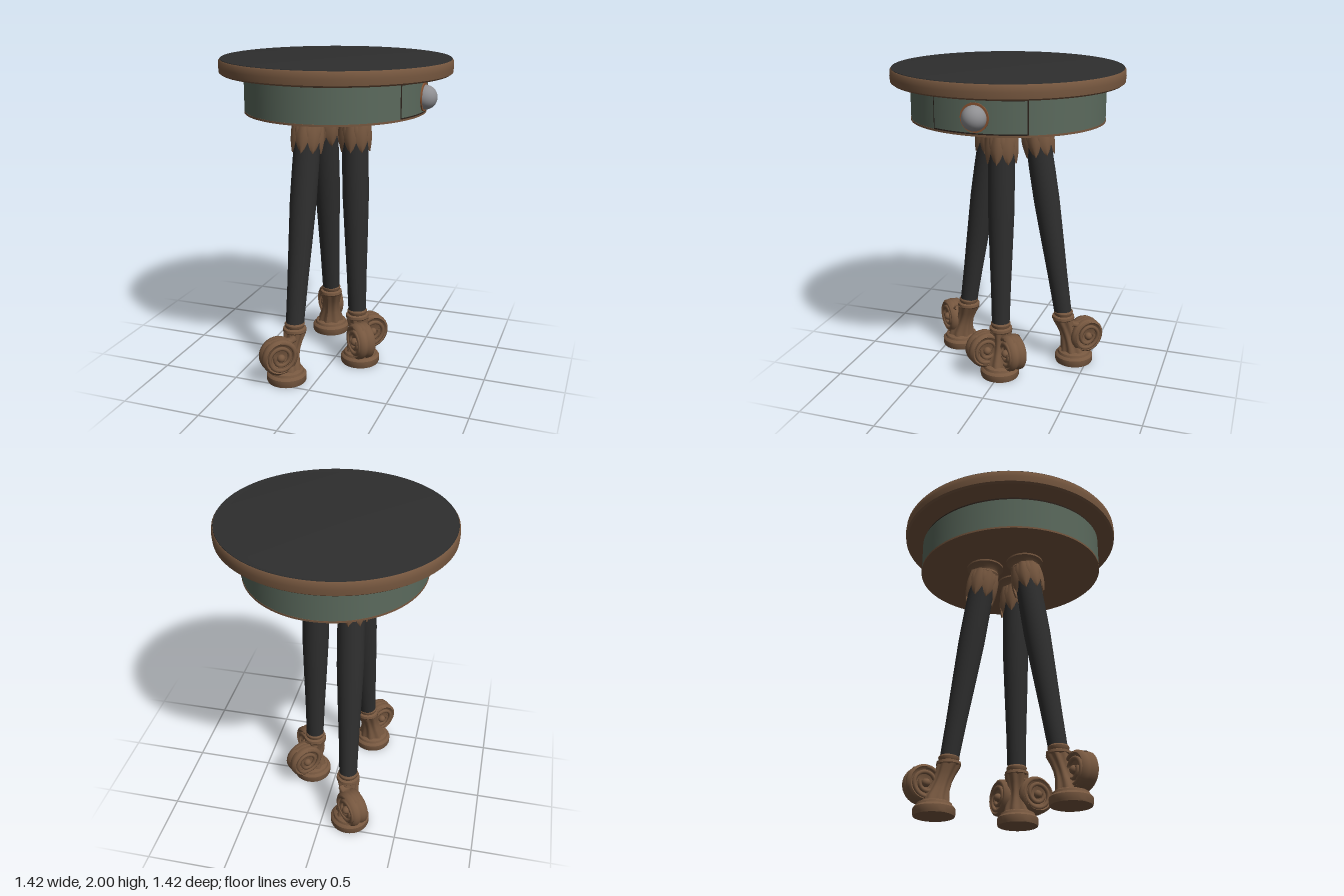
import * as THREE from 'three';
import { toCreasedNormals } from 'three/addons/utils/BufferGeometryUtils.js';

const mat = (name, color, side = THREE.FrontSide) => {
  const m = new THREE.MeshStandardMaterial({ color, side });
  m.name = name;
  return m;
};

export function createModel() {
  const black = mat('ebony', 0x2e2e2e);
  const brown = mat('carved bronze', 0x76573f, THREE.DoubleSide);
  const green = mat('green paint', 0x5b6a5d, THREE.DoubleSide);
  const dark = mat('dark groove', 0x2b211b, THREE.DoubleSide);
  const silver = mat('silver knob', 0x8f8f92);
  const rust = mat('rust', 0x8a5433, THREE.DoubleSide);

  const model = new THREE.Group();
  model.name = 'sideTable';
  const add = (parent, name, geo, material, x = 0, y = 0, z = 0) => {
    const mesh = new THREE.Mesh(geo, material);
    mesh.name = name;
    mesh.position.set(x, y, z);
    parent.add(mesh);
    return mesh;
  };
  const lathe = (pts, seg = 48, crease = 0.6) => toCreasedNormals(
    new THREE.LatheGeometry(pts.map(p => new THREE.Vector2(p[0], p[1])), seg), crease);

  // Round top with a banded rim
  add(model, 'topRim', lathe([[0, 1.905], [0.695, 1.905], [0.708, 1.915], [0.711, 1.95],
    [0.708, 1.985], [0.702, 1.993], [0.68, 1.993]], 96), brown);
  add(model, 'topSurface', lathe([[0.703, 1.988], [0.7, 1.996], [0.66, 1.996], [0.645, 1.998], [0, 2]], 96), black);

  // Oval drum: each layer is a round part squashed along x
  const RX = 0.552, RZ = 0.598;
  const oval = (name, geo, material, y, grow = 1) => {
    const m = add(model, name, geo, material, 0, y, 0);
    m.scale.set(RX * grow, 1, RZ * grow);
    return m;
  };
  oval('drumNeck', new THREE.CylinderGeometry(1, 1, 0.03, 96), dark, 1.895, 0.99);
  oval('drum', new THREE.CylinderGeometry(1, 1, 0.205, 96, 1, true), green, 1.7875);
  oval('drumBottom', new THREE.CylinderGeometry(1, 1, 0.012, 96), brown, 1.681, 1.003);

  // Drawer front on +x, with dark gaps around it
  const arc = (h, mid, half, seg = 24) =>
    new THREE.CylinderGeometry(1, 1, h, seg, 1, true, Math.PI / 2 + mid - half, half * 2);
  oval('drawerGap', arc(0.2, 0, 0.492), dark, 1.787, 1.004);
  oval('drawerFront', arc(0.184, 0, 0.478), green, 1.787, 1.008);

  // Knob
  const plate = add(model, 'knobPlate', new THREE.CylinderGeometry(0.085, 0.085, 0.008, 24), rust, 0.558, 1.782, 0.01);
  plate.rotation.z = Math.PI / 2;
  add(model, 'knob', new THREE.SphereGeometry(0.073, 32, 20), silver, 0.563, 1.78, 0.01);

  // One pointed leaf, wrapped round the shaft and curling out at the tip
  const leafGeometry = (length, radius, width) => {
    const g = new THREE.PlaneGeometry(1, 1, 6, 8);
    const p = g.attributes.position;
    for (let i = 0; i < p.count; i++) {
      const u = p.getX(i) * 2, v = 0.5 - p.getY(i);
      const half = width * (0.75 + 0.5 * Math.sin(v * Math.PI)) * Math.sqrt(Math.max(0, 1 - v ** 3));
      const a = u * half / radius;
      const r = radius + 0.016 * Math.sin(v * Math.PI * 0.85) + 0.008 * (1 - Math.abs(u)) - 0.006 * v;
      p.setXYZ(i, r * Math.sin(a), -v * length, r * Math.cos(a));
    }
    g.computeVertexNormals();
    return g;
  };
  const longLeaf = leafGeometry(0.2, 0.088, 0.034);
  const shortLeaf = leafGeometry(0.14, 0.083, 0.03);

  // Spiral scroll: a rounded wheel with a raised coil and boss on both faces
  const wheel = lathe([[0, -0.04], [0.085, -0.04], [0.1, -0.055], [0.115, -0.042], [0.117, -0.02],
    [0.108, 0], [0.117, 0.02], [0.115, 0.042], [0.1, 0.055], [0.085, 0.04], [0, 0.04]], 36, 0.8);
  const coilPoints = [];
  for (let i = 0; i <= 40; i++) {
    const t = i / 40, a = Math.PI / 2 + t * Math.PI * 3.6, r = 0.1 - 0.062 * t;
    coilPoints.push(new THREE.Vector3(r * Math.cos(a), r * Math.sin(a), 0));
  }
  const coil = new THREE.TubeGeometry(new THREE.CatmullRomCurve3(coilPoints), 80, 0.013, 6);
  const boss = new THREE.SphereGeometry(0.026, 16, 10);
  const addScroll = (parent, x, z, angle) => {
    const s = new THREE.Group();
    s.name = 'footScroll';
    s.position.set(x, 0.19, z);
    s.rotation.y = angle;
    add(s, 'scrollWheel', wheel, brown).rotation.x = Math.PI / 2;
    for (const side of [-1, 1]) {
      add(s, 'scrollCoil', coil, brown, 0, 0, side * 0.046);
      add(s, 'scrollBoss', boss, brown, 0, 0, side * 0.046);
    }
    // band joining the scroll to the ankle
    const band = new THREE.CatmullRomCurve3([[-0.11, 0.1], [-0.07, 0.085], [0, 0.1], [0.06, 0.085]]
      .map(([a, b]) => new THREE.Vector3(a, b, 0)));
    const strap = add(s, 'scrollBand', new THREE.TubeGeometry(band, 16, 0.018, 8), brown);
    strap.scale.z = 2;
    parent.add(s);
  };

  // Fluted foot stem, leaning from the ankle to the base
  const stemGeometry = (from, to) => {
    const g = new THREE.LatheGeometry([[0.09, 0.07], [0.08, 0.11], [0.064, 0.16], [0.058, 0.21],
      [0.062, 0.26], [0.072, 0.31]].map(p => new THREE.Vector2(...p)), 48);
    const p = g.attributes.position;
    for (let i = 0; i < p.count; i++) {
      const x = p.getX(i), y = p.getY(i), z = p.getZ(i);
      const k = 1 + 0.07 * Math.cos(8 * Math.atan2(z, x));
      const t = Math.min(1, Math.max(0, (0.31 - y) / 0.22));
      p.setXYZ(i, x * k + from.x + (to[0] - from.x) * t, y, z * k + from.z + (to[1] - from.z) * t);
    }
    g.computeVertexNormals();
    return g;
  };

  // Legs: upper end, ankle, base centre, and scrolls as [x, z, angle]
  const buildLeg = (name, top, ankle, base, scrolls) => {
    const leg = new THREE.Group();
    leg.name = name;
    model.add(leg);
    const a = new THREE.Vector3(...ankle), b = new THREE.Vector3(...top);
    const L = a.distanceTo(b);

    // tapered shaft and leaf collar follow the lean of the leg
    const tilt = new THREE.Group();
    tilt.name = 'shaftAndCollar';
    tilt.position.copy(a);
    tilt.quaternion.setFromUnitVectors(new THREE.Vector3(0, 1, 0), b.clone().sub(a).normalize());
    leg.add(tilt);
    add(tilt, 'shaft', lathe([[0.057, 0], [0.064, 0.2 * L], [0.074, 0.4 * L], [0.083, 0.6 * L],
      [0.083, 0.75 * L], [0.079, L]], 32), black);
    for (let i = 0; i < 8; i++) {
      add(tilt, 'longLeaf', longLeaf, brown, 0, L - 0.035, 0).rotation.y = i * Math.PI / 4;
      add(tilt, 'shortLeaf', shortLeaf, brown, 0, L - 0.035, 0).rotation.y = (i + 0.5) * Math.PI / 4;
    }

    // flared cap under the drum
    add(leg, 'cap', lathe([[0.08, -0.1], [0.092, -0.07], [0.085, -0.055], [0.09, -0.04],
      [0.108, -0.024], [0.119, -0.016], [0.119, 0]], 36), brown, b.x, 1.68, b.z);

    // ankle rings
    add(leg, 'ankleRings', lathe([[0, 0.37], [0.058, 0.37], [0.064, 0.36], [0.062, 0.345], [0.058, 0.338],
      [0.073, 0.332], [0.075, 0.315], [0.066, 0.305], [0, 0.3]].reverse(), 32), brown, a.x, 0, a.z);
    add(leg, 'footStem', stemGeometry(a, base), brown);
    add(leg, 'footBase', lathe([[0, 0], [0.122, 0], [0.126, 0.01], [0.126, 0.045], [0.118, 0.055],
      [0.11, 0.06], [0.105, 0.075], [0.088, 0.085], [0, 0.09]], 36), brown, base[0], 0, base[1]);
    for (const s of scrolls) addScroll(leg, ...s);
  };

  const q = Math.PI / 4;
  buildLeg('sideLeg', [0.122, 1.66, 0], [0.148, 0.34, 0], [0.17, 0], [[0.205, 0.095, -q], [0.205, -0.095, q]]);
  for (const s of [1, -1]) {
    buildLeg(s > 0 ? 'frontLeg' : 'backLeg', [-0.125, 1.66, s * 0.135], [-0.156, 0.34, s * 0.338],
      [-0.185, s * 0.41], [[-0.212, s * 0.475, -s * 3 * q]]);
  }
  return model;
}
